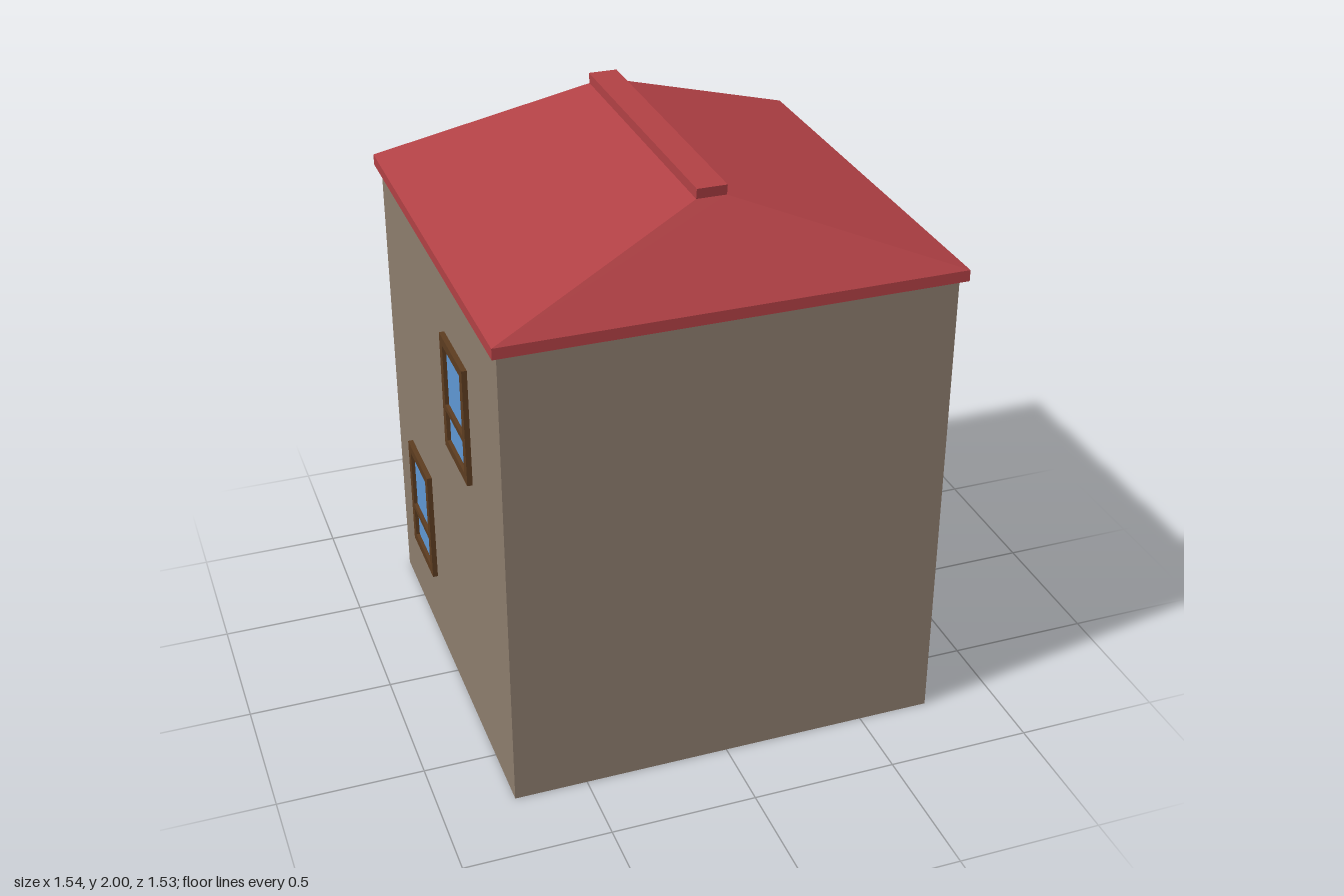
import * as THREE from 'three';

const mat = (color) => new THREE.MeshStandardMaterial({ color, flatShading: true });
const wallMat = mat(0x8c7c6c), roofMat = mat(0xb04044), frameMat = mat(0x5c3c20);
const doorMat = mat(0x573417), glassMat = mat(0x5e96d2);

function part(name, geometry, material) {
  const m = new THREE.Mesh(geometry, material);
  m.name = name;
  return m;
}

function trace(path, x0, y0, x1, y1) {
  path.moveTo(x0, y0);
  path.lineTo(x1, y0);
  path.lineTo(x1, y1);
  path.lineTo(x0, y1);
  path.closePath();
  return path;
}

// Panelled frame facing +z, back at z = 0; columns and rows are [from, to] openings
function panelled(name, w, h, depth, columns, rows, frame, fill, fillDepth) {
  const group = new THREE.Group();
  group.name = name;
  const shape = trace(new THREE.Shape(), -w / 2, -h / 2, w / 2, h / 2);
  for (const [x0, x1] of columns)
    for (const [y0, y1] of rows) shape.holes.push(trace(new THREE.Path(), x0, y0, x1, y1));
  group.add(part(name + 'Frame', new THREE.ExtrudeGeometry(shape, { depth, bevelEnabled: false }), frame));
  const panel = part(name + 'Panel', new THREE.BoxGeometry(w - 0.02, h - 0.02, fillDepth), fill);
  panel.position.z = fillDepth / 2;
  group.add(panel);
  return group;
}

// Hipped roof with eaves and ridge: a box whose levels are resized
function roofGeometry() {
  const levels = [[0.77, 1.667, 0.765], [0.77, 1.705, 0.765], [0.05, 1.965, 0.52], [0.05, 2, 0.525]];
  const geo = new THREE.BoxGeometry(2, 3, 2, 1, 3, 1);
  const p = geo.attributes.position;
  for (let i = 0; i < p.count; i++) {
    const [hx, y, hz] = levels[Math.round(p.getY(i) + 1.5)];
    p.setXYZ(i, p.getX(i) * hx, y, p.getZ(i) * hz);
  }
  const flat = geo.toNonIndexed();
  flat.computeVertexNormals();
  return flat;
}

export function createModel() {
  const house = new THREE.Group();
  house.name = 'house';

  const walls = part('walls', new THREE.BoxGeometry(1.5, 1.667, 1.475), wallMat);
  walls.position.y = 1.667 / 2;
  house.add(walls, part('roof', roofGeometry(), roofMat));

  // Side windows: side, centre y, centre z
  const sideWindows = [[1, 1.225, 0.21], [1, 0.48, -0.075], [-1, 1.215, 0.23], [-1, 0.465, -0.38]];
  for (const [side, y, z] of sideWindows) {
    const win = panelled('sideWindow', 0.28, 0.42, 0.018,
      [[-0.107, 0.107]], [[-0.178, -0.062], [-0.042, 0.178]], frameMat, glassMat, 0.005);
    win.position.set(side * 0.75, y, z);
    win.rotation.y = side * Math.PI / 2;
    house.add(win);
  }

  // Four-pane window on the back
  const backWindow = panelled('backWindow', 0.41, 0.55, 0.022,
    [[-0.17, -0.012], [0.012, 0.17]], [[-0.24, -0.012], [0.012, 0.24]], frameMat, glassMat, 0.006);
  backWindow.position.set(0.285, 1.235, -0.7375);
  backWindow.rotation.y = Math.PI;

  // Back door with three columns of panels
  const door = panelled('door', 0.33, 0.635, 0.013,
    [-0.088, 0, 0.088].map((x) => [x - 0.036, x + 0.036]),
    [[-0.24, -0.012], [0.012, 0.26]], doorMat, doorMat, 0.006);
  door.position.set(0.005, 0.3375, -0.7375);
  door.rotation.y = Math.PI;
  house.add(backWindow, door);

  return house;
}
